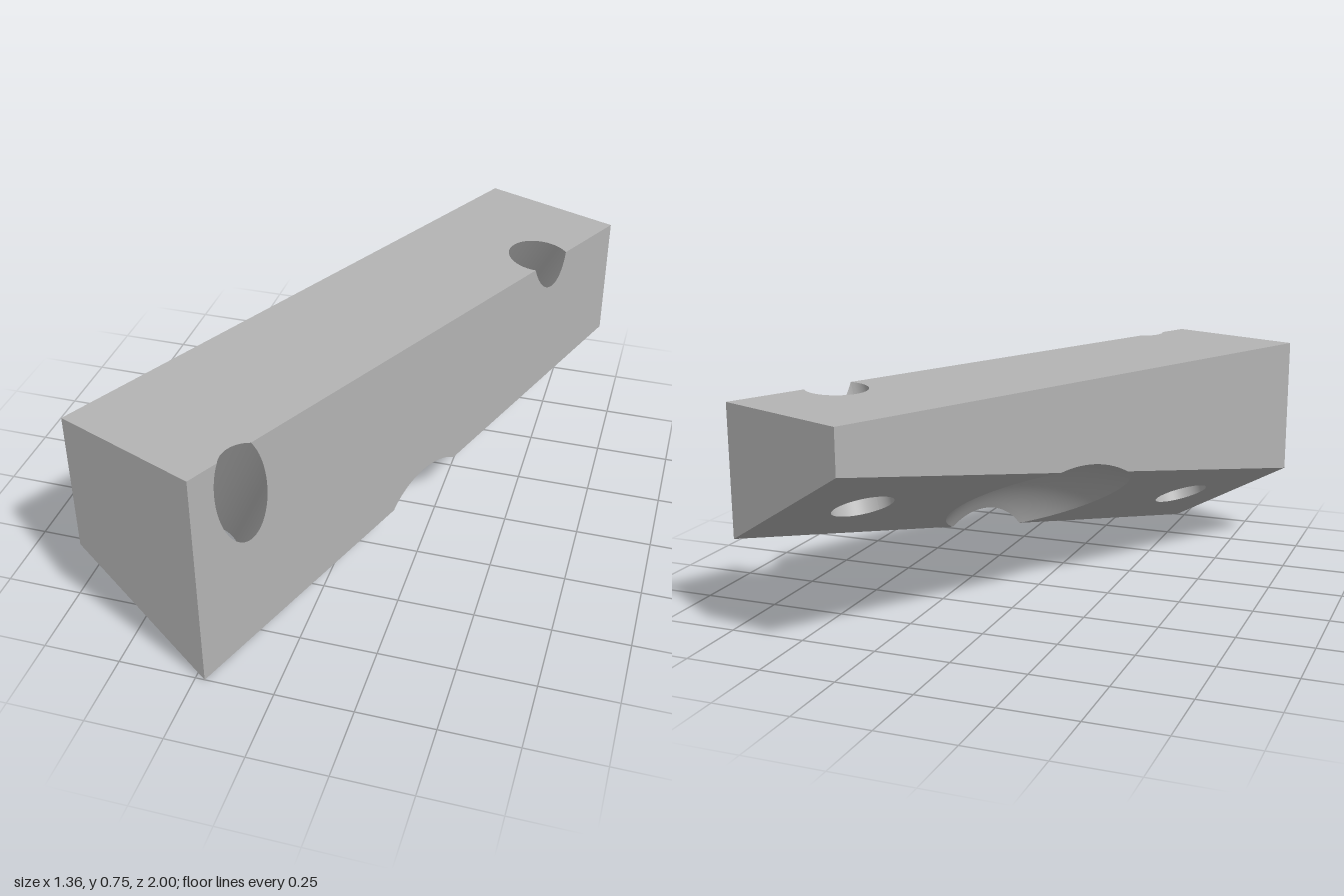
import * as THREE from 'three';

const V = (x, y, z) => new THREE.Vector3(x, y, z);
const Y = V(0, 1, 0), TOP = 0.755, HOLE_R = 0.098, SPHERE_R = 0.48, SPHERE_DROP = 0.354;
const at = (p, ...terms) => {
  const r = p.clone();
  for (let i = 0; i < terms.length; i += 2) r.addScaledVector(terms[i], terms[i + 1]);
  return r;
};
const range = (a, b, n) => Array.from({ length: n + 1 }, (_, i) => a + (b - a) * i / n);

// Underside corners of the block; the underside slopes, the top is level
const A = V(-0.22, 0, 1), B = V(0.68, 0.33, -0.82), D = V(-0.68, 0.28, 0.82);
const C = B.clone().add(D).sub(A);
const O = A.clone().add(C).multiplyScalar(0.5);
const lift = p => V(p.x, TOP, p.z);

// Underside axes: e1 along its length, e2 across it, n into the block
const length = A.distanceTo(B);
const e1 = B.clone().sub(A).normalize();
const n = A.clone().sub(D).cross(e1).normalize();
const e2 = e1.clone().cross(n);
// Long wall axes: u level along it, m its outward normal
const u = lift(B).sub(lift(A)).normalize();
const m = u.clone().cross(Y);

// Flat face whose outward normal is a x b
function face(origin, a, b, points, holes = []) {
  const flat = list => list.map(p => {
    const d = p.clone().sub(origin);
    return new THREE.Vector2(d.dot(a), d.dot(b));
  });
  const shape = new THREE.Shape(flat(points));
  shape.holes = holes.map(h => new THREE.Path(flat(h)));
  const basis = new THREE.Matrix4().makeBasis(a, b, a.clone().cross(b)).setPosition(origin);
  return new THREE.ShapeGeometry(shape, 1).applyMatrix4(basis);
}

const wall = (P, Q, points) => face(P, lift(Q).sub(lift(P)).normalize(), Y, points);

// Smooth surface through rows of points
function loft(rows, flip) {
  const w = rows[0].length, index = [];
  for (let i = 0; i < rows.length - 1; i++) for (let j = 0; j < w - 1; j++) {
    const a = i * w + j, b = a + 1, c = a + w, d = c + 1;
    index.push(...(flip ? [a, c, b, b, c, d] : [a, b, c, b, d, c]));
  }
  const g = new THREE.BufferGeometry().setFromPoints(rows.flat());
  g.setIndex(index);
  g.computeVertexNormals();
  return g;
}

// Hole drilled square to the underside, leaving partly by the top and partly by the long wall
function drill(foot) {
  const rim = t => at(foot, e1, HOLE_R * Math.cos(t), e2, HOLE_R * Math.sin(t));
  const exit = t => {
    const p = rim(t);
    const toTop = (TOP - p.y) / n.y, toWall = (m.dot(A) - m.dot(p)) / m.dot(n);
    return at(p, n, Math.min(toTop, toWall));
  };
  // Where the hole crosses the top edge of the long wall
  const d = lift(A).sub(foot);
  const [a0, b0, a1, b1] = [d.dot(e1), d.dot(e2), u.dot(e1), u.dot(e2)];
  const qa = a1 * a1 + b1 * b1, qb = a0 * a1 + b0 * b1, qc = a0 * a0 + b0 * b0 - HOLE_R ** 2;
  const root = Math.sqrt(Math.max(0, qb * qb - qa * qc));
  const [t0, t1] = [-1, 1].map(sign => {
    const s = (-qb + sign * root) / qa;
    const t = Math.atan2(b0 + b1 * s, a0 + a1 * s);
    return t < -Math.PI / 2 ? t + 2 * Math.PI : t;
  });
  const wallAngles = range(t0, t1, 40), topAngles = range(t0, t1 + 2 * Math.PI, 40);
  const all = [...wallAngles, ...topAngles.slice(0, -1).reverse()];
  return {
    wallArc: wallAngles.map(exit),
    topArc: topAngles.map(exit),
    rim: all.slice(0, -1).map(rim),
    tube: loft([all.map(rim), all.map(exit)], true),
  };
}

// Spherical hollow under the block, as arcs in slices parallel to the long walls
function hollowRows() {
  const S = at(O, n, -SPHERE_DROP);
  const g = m.clone().cross(e1);
  if (g.y < 0) g.negate();
  return range(m.dot(D), m.dot(A), 40).map(q => {
    const off = q - m.dot(S), c = at(S, m, off);
    const r = Math.sqrt(SPHERE_R ** 2 - off * off);
    const half = Math.acos(n.dot(O.clone().sub(c)) / n.dot(g) / r);
    return range(-half, half, 40).map(t => at(c, g, r * Math.cos(t), e1, r * Math.sin(t)));
  });
}

export function createModel() {
  const grey = new THREE.MeshStandardMaterial({ color: 0xb4b4b4 });
  grey.name = 'grey';
  const group = new THREE.Group();
  group.name = 'drilledBlock';
  const add = (name, geometry) => {
    const mesh = new THREE.Mesh(geometry, grey);
    mesh.name = name;
    group.add(mesh);
  };

  const front = drill(at(O, e1, -0.36 * length));
  const back = drill(at(O, e1, 0.36 * length));
  const rows = hollowRows();

  // Drilled holes and hollow
  add('frontHole', front.tube);
  add('backHole', back.tube);
  add('undersideHollow', loft(rows, false));

  // Top and walls
  add('topFace', face(lift(O), V(1, 0, 0), V(0, 0, -1),
    [lift(A), ...front.topArc, ...back.topArc, lift(B), lift(C), lift(D)]));
  add('drilledWall', wall(A, B, [A, ...rows[rows.length - 1], B, lift(B),
    ...back.wallArc.slice().reverse(), ...front.wallArc.slice().reverse(), lift(A)]));
  add('plainWall', wall(C, D, [D, ...rows[0], C, lift(C), lift(D)]));
  add('frontEnd', wall(D, A, [D, A, lift(A), lift(D)]));
  add('backEnd', wall(B, C, [B, C, lift(C), lift(B)]));

  // Sloping underside, parted by the hollow
  add('frontUnderside', face(O, e1, e2, [A, D, ...rows.map(r => r[0])], [front.rim]));
  add('backUnderside', face(O, e1, e2, [...rows.map(r => r[r.length - 1]), B, C], [back.rim]));
  return group;
}
